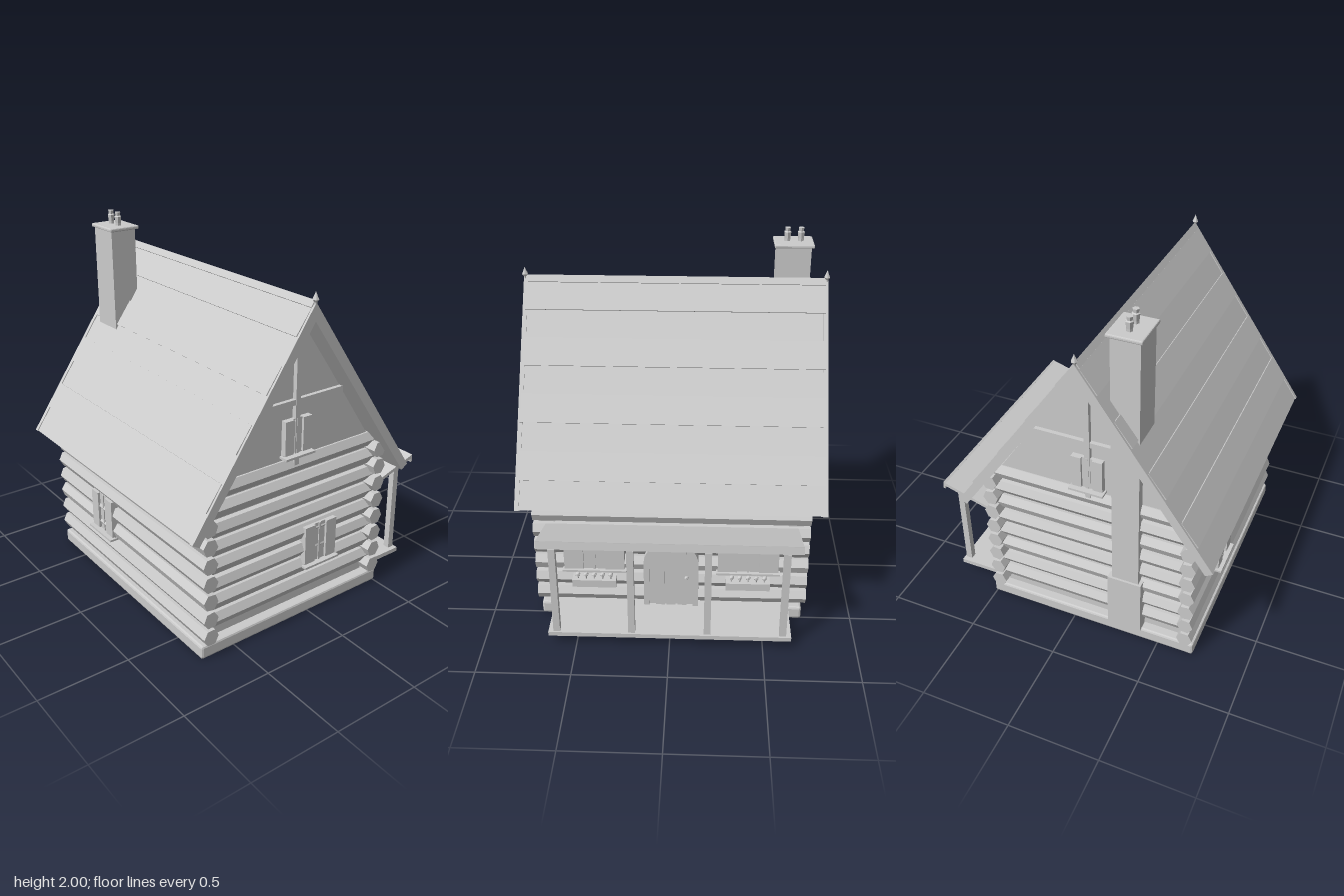
import * as THREE from 'three';
import { RoundedBoxGeometry } from 'three/addons/geometries/RoundedBoxGeometry.js';

const grey = new THREE.MeshStandardMaterial({ color: 0xcccccc });
grey.name = 'plain grey';
grey.flatShading = true;

const MID = 0.1; // z of the ridge

function add(parent, name, geometry, x = 0, y = 0, z = 0) {
  const mesh = new THREE.Mesh(geometry, grey);
  mesh.name = name;
  mesh.position.set(x, y, z);
  parent.add(mesh);
  return mesh;
}

// Box given by its limits on each axis
function block(parent, name, x0, x1, y0, y1, z0, z1) {
  return add(parent, name, new THREE.BoxGeometry(x1 - x0, y1 - y0, z1 - z0),
    (x0 + x1) / 2, (y0 + y1) / 2, (z0 + z1) / 2);
}

// Outline in [z, y], stretched from x0 to x1
function prism(parent, name, outline, x0, x1) {
  const shape = new THREE.Shape(outline.map(([z, y]) => new THREE.Vector2(z, y)));
  const geometry = new THREE.ExtrudeGeometry(shape, { depth: x1 - x0, bevelEnabled: false });
  geometry.rotateY(-Math.PI / 2).translate(x1, 0, 0);
  return add(parent, name, geometry);
}

// Rough six-sided log along x or z
function log(parent, name, length, alongX, x, y, z, turn) {
  const geometry = new THREE.CylinderGeometry(0.044, 0.044, length, 6);
  geometry.rotateY(turn);
  geometry.rotateX(Math.PI / 2);
  if (!alongX) geometry.rotateZ(Math.PI / 2);
  else geometry.rotateY(Math.PI / 2).rotateX(Math.PI / 2);
  geometry.scale(1, 1.1, 1);
  return add(parent, name, geometry, x, y, z);
}

// Shuttered window facing +z, its wall plane at z = 0, its sill at y = 0
function makeWindow(name, w, h, depth, sillOut) {
  const g = new THREE.Group();
  g.name = name;
  block(g, 'windowPane', -w / 2, w / 2, 0, h, -depth, -0.012);
  for (const s of [-1, 1]) {
    const c = s * w * 0.34;
    block(g, 'windowShutter', c - w * 0.16, c + w * 0.16, 0.005, h, -0.02, 0.002);
  }
  block(g, 'windowBar', -0.006, 0.006, 0, h, -0.02, -0.006);
  block(g, 'windowSill', -w / 2 - 0.01, w / 2 + 0.01, -0.012, 0, -depth, sillOut);
  return g;
}

function place(parent, child, x, y, z, turn) {
  child.position.set(x, y, z);
  child.rotation.y = turn;
  parent.add(child);
}

function makeWalls(root) {
  add(root, 'foundation', new RoundedBoxGeometry(1.45, 0.075, 1.215, 1, 0.012), 0, 0.0375, 0.0975);
  block(root, 'wallCore', -0.67, 0.67, 0.07, 0.9, -0.44, 0.64);
  for (let i = 0; i < 8; i++) {
    const y = 0.13 + i * 0.103;
    const turn = 0.12 * Math.sin(i * 2.3);
    log(root, 'frontLog', 1.495, true, 0, y, 0.66, turn);
    log(root, 'backLog', 1.495, true, 0, y, -0.46, -turn);
    for (const s of [-1, 1]) log(root, 'sideLog', 1.12, false, s * 0.67, y + 0.0515, MID, turn);
  }
  // Gables with their cross boards
  prism(root, 'gableWall', [[0.64, 0.895], [MID, 1.7], [-0.44, 0.895]], -0.685, 0.685);
  for (const s of [-1, 1]) {
    add(root, 'gablePost', new THREE.BoxGeometry(0.03, 0.76, 0.03), s * 0.695, 1.28, MID);
    add(root, 'gableBeam', new THREE.BoxGeometry(0.03, 0.03, 0.6), s * 0.692, 1.25, MID);
    place(root, makeWindow('gableWindow', 0.17, 0.19, 0.03, 0.025), s * 0.718, 0.975, MID, s * Math.PI / 2);
  }
  place(root, makeWindow('frontWindow', 0.215, 0.225, 0.06, 0.022), -0.235, 0.295, 0.708, 0);
  place(root, makeWindow('sideWindow', 0.215, 0.225, 0.06, 0.022), 0.722, 0.295, -0.075, Math.PI / 2);
}

function makeRoof(root) {
  const mirror = ([z, y]) => [2 * MID - z, y];
  const chevron = (out, low, peak, inner) =>
    [[MID, peak], mirror(out), mirror(low), [MID, inner], low, out];
  prism(root, 'roofSlab', chevron([0.805, 0.745], [0.77, 0.722], 1.768, 1.69), -0.795, 0.795);
  for (const s of [-1, 1]) {
    prism(root, 'bargeBoard', chevron([0.81, 0.745], [0.77, 0.72], 1.777, 1.685), s * 0.8 - 0.012, s * 0.8 + 0.012);
    // Finial on each end of the ridge
    const profile = [[0, -0.035], [0.008, -0.03], [0.008, -0.012], [0.017, 0], [0.009, 0.018], [0, 0.04]];
    add(root, 'finial', new THREE.LatheGeometry(profile.map(p => new THREE.Vector2(...p)), 6), s * 0.805, 1.79, MID);
  }
  // Raised courses on both slopes
  const slope = 1.03 / 0.71;
  const at = (z, lift) => [z + 0.82 * lift, 1.77 - (z - MID) * slope + 0.57 * lift];
  for (const [a, b] of [[0.115, 0.2], [0.285, 0.372], [0.457, 0.545], [0.63, 0.717]]) {
    const strip = [at(a, -0.01), at(b, -0.01), at(b, 0.01), at(a, 0.006)];
    prism(root, 'roofCourse', strip, -0.8, 0.8);
    prism(root, 'roofCourse', strip.map(mirror).reverse(), -0.8, 0.8);
  }
  prism(root, 'ridgeCap', [[MID, 1.787], [MID - 0.022, 1.755], [MID, 1.74], [MID + 0.022, 1.755]], -0.8, 0.8);
}

function makeChimney(root) {
  block(root, 'chimneyStack', -0.73, -0.545, 0.07, 1.91, 0.238, 0.387);
  block(root, 'chimneyBase', -0.742, -0.6, 0.07, 0.42, 0.215, 0.405);
  add(root, 'chimneyCap', new RoundedBoxGeometry(0.215, 0.02, 0.18, 1, 0.006), -0.6375, 1.917, 0.31);
  const pot = [[0, 0], [0.017, 0], [0.017, 0.015], [0.021, 0.05], [0.014, 0.055], [0.017, 0.074], [0, 0.074]];
  for (const x of [-0.675, -0.602])
    add(root, 'chimneyPot', new THREE.LatheGeometry(pot.map(p => new THREE.Vector2(...p)), 6), x, 1.926, 0.31);
}

// Arched outline standing on y = 0
function archShape(Kind, r, top) {
  const s = new Kind();
  s.moveTo(-r, 0);
  s.lineTo(r, 0);
  s.lineTo(r, top - r);
  s.absarc(0, top - r, r, 0, Math.PI, false);
  s.lineTo(-r, 0);
  return s;
}

function makeDoor() {
  const g = new THREE.Group();
  g.name = 'door';
  const frame = archShape(THREE.Shape, 0.15, 0.43);
  frame.holes.push(archShape(THREE.Path, 0.12, 0.4));
  const solid = (shape, depth) => new THREE.ExtrudeGeometry(shape, { depth, bevelEnabled: false, curveSegments: 8 });
  add(g, 'doorFrame', solid(frame, 0.065), 0, 0, -0.05);
  add(g, 'doorPanel', solid(archShape(THREE.Shape, 0.122, 0.402), 0.05), 0, 0, -0.05);
  for (const x of [-0.06, 0, 0.06]) block(g, 'doorPlank', x - 0.025, x + 0.025, 0, 0.37, -0.01, 0.008);
  add(g, 'doorKnob', new THREE.IcosahedronGeometry(0.012, 0), 0.085, 0.19, 0.012);
  return g;
}

function makePorch(root) {
  block(root, 'porchFloor', -0.65, 0.65, 0.055, 0.08, -0.768, -0.5);
  block(root, 'porchStep', -0.19, 0.19, 0, 0.055, -0.597, -0.5);
  for (const x of [-0.605, -0.202, 0.202, 0.605])
    block(root, 'porchPost', x - 0.018, x + 0.018, 0.08, 0.61, -0.758, -0.722);
  for (const x of [-0.605, -0.202, 0.202, 0.605])
    prism(root, 'porchRafter', [[-0.78, 0.64], [-0.5, 0.55], [-0.5, 0.585], [-0.78, 0.67]], x - 0.01, x + 0.01);
  prism(root, 'porchRoof', [[-0.8, 0.667], [-0.49, 0.572], [-0.49, 0.59], [-0.8, 0.688]], -0.68, 0.675);
  prism(root, 'porchRoofLip', [[-0.81, 0.65], [-0.797, 0.645], [-0.79, 0.685], [-0.803, 0.692]], -0.68, 0.675);
  place(root, makeDoor(), 0, 0.08, -0.507, Math.PI);

  for (const s of [-1, 1]) {
    place(root, makeWindow('backWindow', 0.33, 0.25, 0.06, 0.01), s * 0.42, 0.31, -0.516, Math.PI);
    // Flower box on brackets
    block(root, 'flowerBox', s * 0.42 - 0.12, s * 0.42 + 0.12, 0.222, 0.267, -0.558, -0.49);
    for (let i = -2; i <= 2; i++) {
      const x = s * 0.42 + i * 0.045;
      add(root, 'flowerStem', new THREE.CylinderGeometry(0.004, 0.004, 0.04, 4), x, 0.28, -0.538);
      add(root, 'flower', new THREE.IcosahedronGeometry(0.015, 0), x, 0.295, -0.54);
    }
  }
}

export function createModel() {
  const root = new THREE.Group();
  root.name = 'logCabin';
  makeWalls(root);
  makeRoof(root);
  makeChimney(root);
  makePorch(root);
  return root;
}
